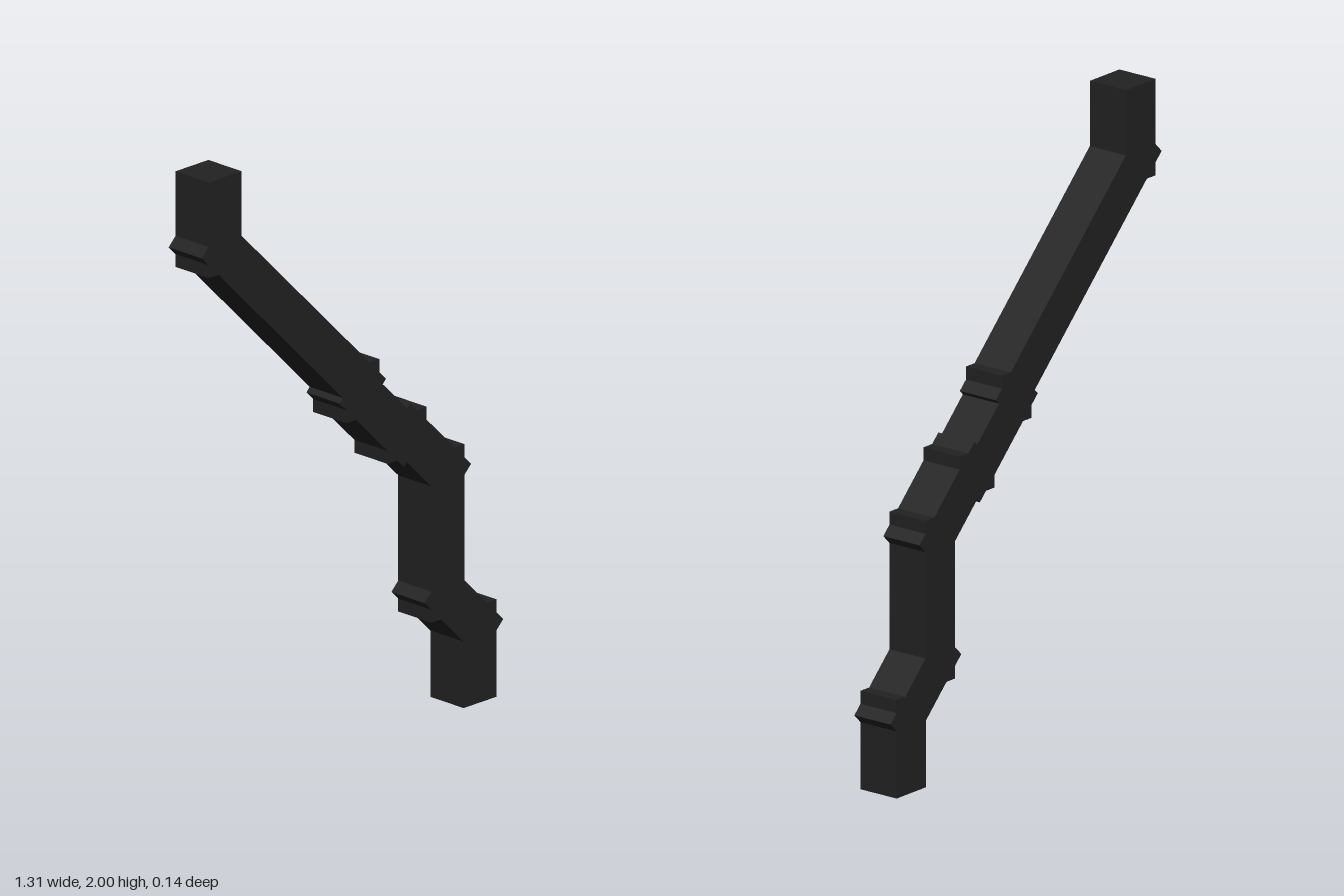
import * as THREE from 'three';

const WIDTH = 0.143; // square section of the pipe

export function createModel() {
  const group = new THREE.Group();
  group.name = 'drainPipe';
  const black = new THREE.MeshStandardMaterial({ color: 0x222222 });
  black.name = 'matte black';

  // Centre line from the top end to the bottom end
  const path = [
    [-0.555, 2], [-0.555, 1.76], [0.044, 1.161], [0.044, 1.132],
    [0.223, 0.953], [0.249, 0.953], [0.414, 0.788], [0.414, 0.386],
    [0.554, 0.246], [0.554, 0],
  ].map(([x, y]) => new THREE.Vector2(x, y));
  const names = [
    'topEnd', 'longSlope', 'upperJoint', 'middleSlope', 'middleJoint',
    'lowerSlope', 'lowerUpright', 'footSlope', 'bottomEnd',
  ];

  // Each straight box runs half a width past every bend, so its corners stick out
  names.forEach((name, i) => {
    const dir = path[i + 1].clone().sub(path[i]).normalize();
    const start = path[i].clone();
    const end = path[i + 1].clone();
    if (i > 0) start.addScaledVector(dir, -WIDTH / 2);
    if (i < names.length - 1) end.addScaledVector(dir, WIDTH / 2);
    const box = new THREE.Mesh(
      new THREE.BoxGeometry(start.distanceTo(end), WIDTH, WIDTH), black);
    box.name = name;
    box.position.set((start.x + end.x) / 2, (start.y + end.y) / 2, 0);
    box.rotation.z = dir.angle();
    group.add(box);
  });
  return group;
}
